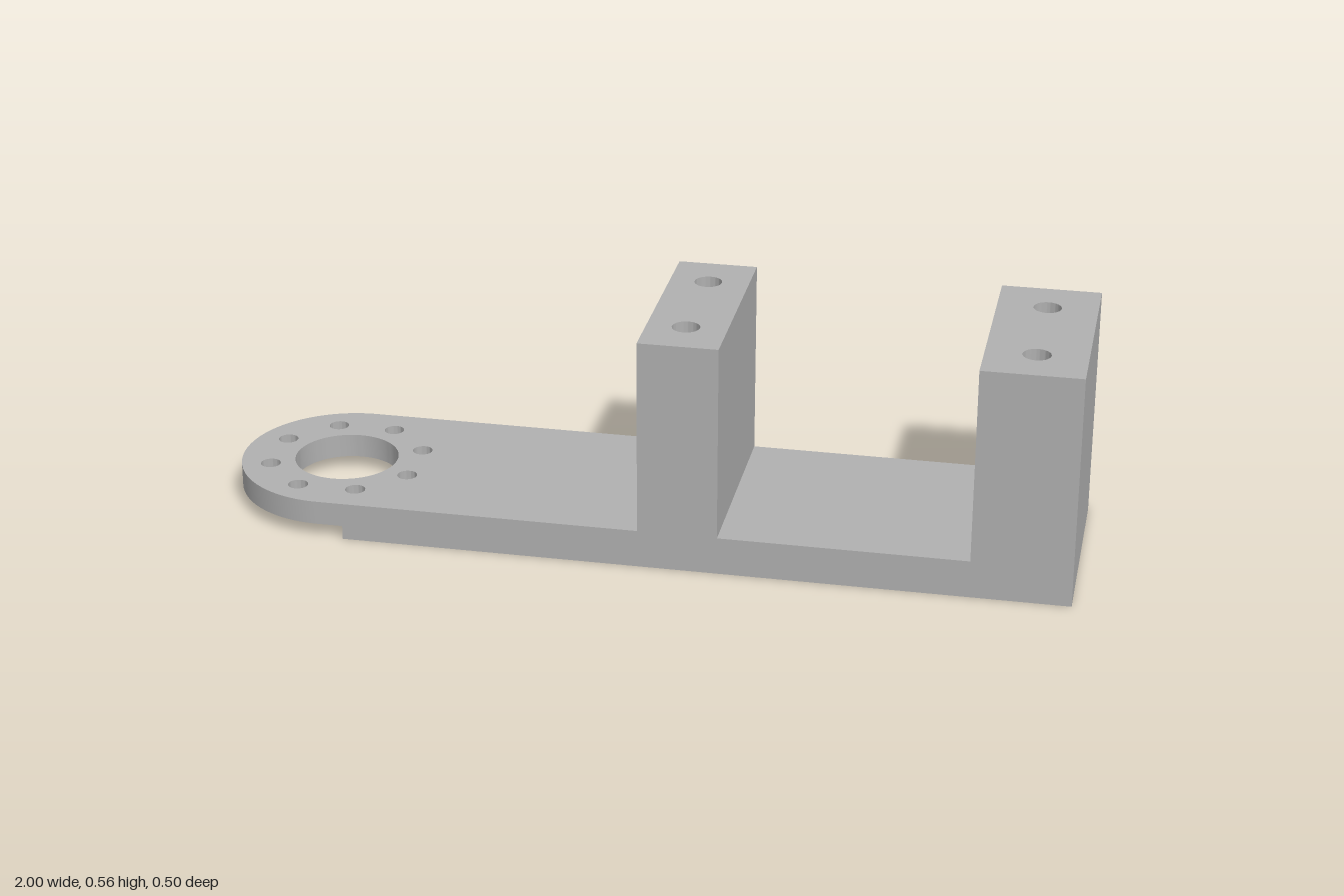
import * as THREE from 'three';
import { toCreasedNormals } from 'three/addons/utils/BufferGeometryUtils.js';

const HALF = 0.25;          // half the width of the bracket
const RING_X = -0.75;       // centre of the rounded end
const RECESS_Y = 0.033, PLATE_Y = 0.09, POST_Y = 0.555;

export function createModel() {
  const model = new THREE.Group();
  model.name = 'mountingBracket';
  const metal = new THREE.MeshStandardMaterial({ color: 0xb0b0b0 });
  metal.name = 'plain grey';

  // Extrude a plan outline upward from y0 to y1
  function slab(name, shape, y0, y1) {
    const geo = new THREE.ExtrudeGeometry(shape, { depth: y1 - y0, bevelEnabled: false, curveSegments: 40 });
    geo.rotateX(-Math.PI / 2);
    geo.translate(0, y0, 0);
    const mesh = new THREE.Mesh(toCreasedNormals(geo, 0.6), metal);
    mesh.name = name;
    model.add(mesh);
  }

  function drill(shape, x, z, r) {
    const hole = new THREE.Path();
    hole.absarc(x, z, r, 0, Math.PI * 2, true);
    shape.holes.push(hole);
  }

  function rectangle(x0, x1) {
    const s = new THREE.Shape();
    s.moveTo(x0, -HALF);
    s.lineTo(x1, -HALF);
    s.lineTo(x1, HALF);
    s.lineTo(x0, HALF);
    s.closePath();
    return s;
  }

  // Upper plate: rounded end with a bore and a ring of eight bolt holes
  const plate = new THREE.Shape();
  plate.moveTo(RING_X, -HALF);
  plate.lineTo(1, -HALF);
  plate.lineTo(1, HALF);
  plate.lineTo(RING_X, HALF);
  plate.absarc(RING_X, 0, HALF, Math.PI / 2, Math.PI * 1.5, false);
  drill(plate, RING_X, 0, 0.123);
  for (let i = 0; i < 8; i++) {
    const a = (i + 0.5) * Math.PI / 4;
    drill(plate, RING_X + 0.182 * Math.cos(a), 0.182 * Math.sin(a), 0.0235);
  }
  slab('upperPlate', plate, RECESS_Y, PLATE_Y);

  // Lower plate: cut back by a circular recess under the rounded end
  const cutX = -0.69;
  const cutR = Math.hypot(cutX - RING_X, HALF);
  const cutA = Math.atan2(HALF, cutX - RING_X);
  const base = new THREE.Shape();
  base.moveTo(cutX, -HALF);
  base.lineTo(1, -HALF);
  base.lineTo(1, HALF);
  base.lineTo(cutX, HALF);
  base.absarc(RING_X, 0, cutR, cutA, -cutA, true);
  slab('lowerPlate', base, 0, RECESS_Y);

  // Upright posts with two blind screw holes in each top
  const holeFloor = 0.3;
  for (const [name, x0, x1, holeX] of [['middlePost', 0.01, 0.195, 0.1], ['endPost', 0.77, 1, 0.885]]) {
    slab(name + 'Lower', rectangle(x0, x1), PLATE_Y, holeFloor);
    const top = rectangle(x0, x1);
    for (const side of [-1, 1]) drill(top, holeX, side * 0.137, 0.032);
    slab(name + 'Upper', top, holeFloor, POST_Y);
  }

  return model;
}
